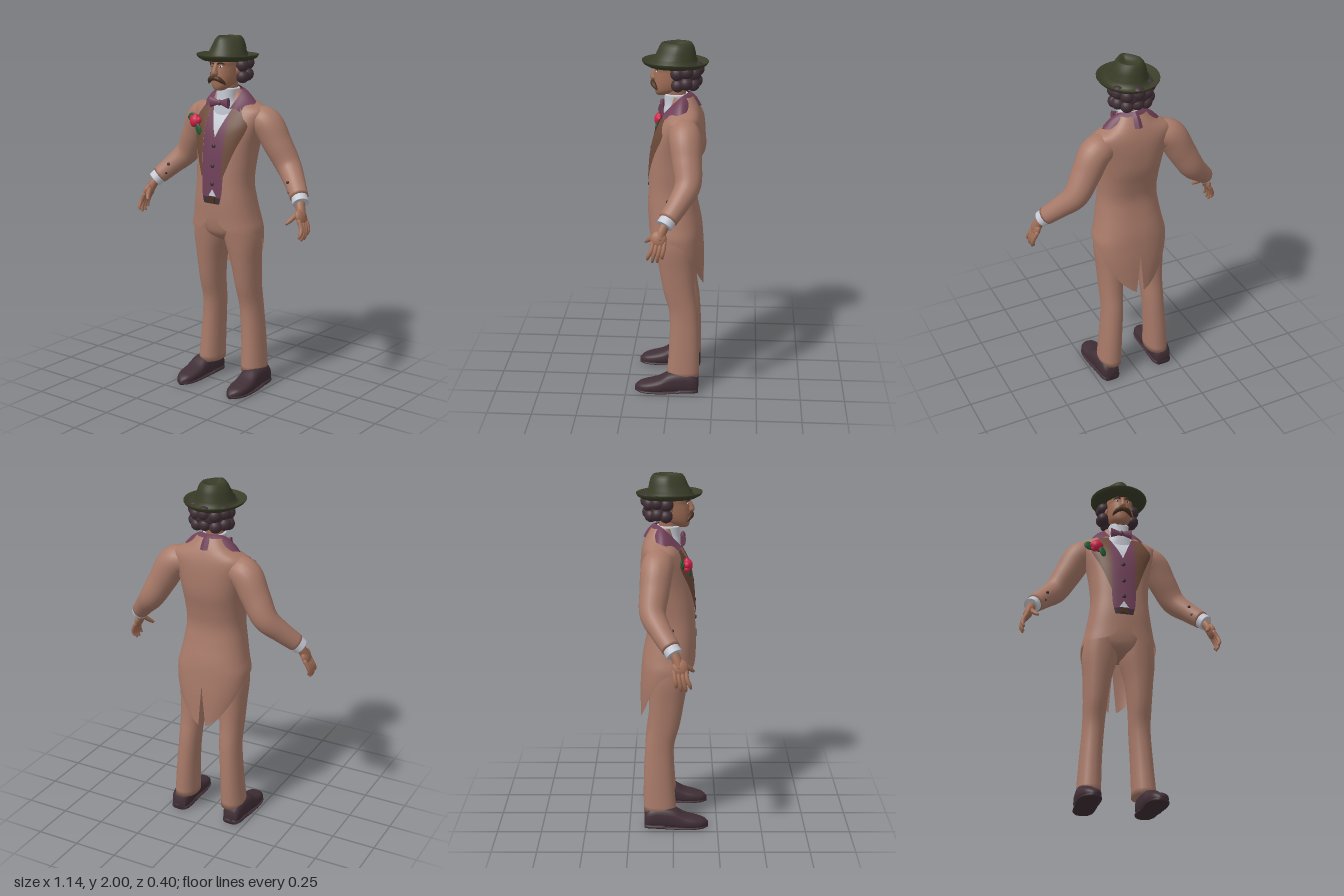
import * as THREE from 'three';

const mat = (name, color, open) => {
  const m = new THREE.MeshStandardMaterial({ color });
  m.name = name;
  if (open) m.side = THREE.DoubleSide;
  return m;
};

// smooth interpolation in a table of [key, ...values]
function at(tab, k) {
  const n = tab.length - 1;
  k = Math.min(Math.max(k, tab[0][0]), tab[n][0]);
  let i = 0;
  while (i < n - 1 && k > tab[i + 1][0]) i++;
  const a = tab[i], b = tab[i + 1], p = tab[Math.max(i - 1, 0)], q = tab[Math.min(i + 2, n)];
  const h = b[0] - a[0], t = (k - a[0]) / h, t2 = t * t, t3 = t2 * t;
  return a.slice(1).map((_, j) => {
    const c = j + 1, m0 = (b[c] - p[c]) / (b[0] - p[0]), m1 = (q[c] - a[c]) / (q[0] - a[0]);
    return (2 * t3 - 3 * t2 + 1) * a[c] + (t3 - 2 * t2 + t) * h * m0 + (3 * t2 - 2 * t3) * b[c] + (t3 - t2) * h * m1;
  });
}

// surface from f(u, v) -> [x, y, z]; closed wraps around u
function grid(nu, nv, f, closed) {
  const pos = [], idx = [], w = closed ? nu : nu + 1;
  for (let j = 0; j <= nv; j++) for (let i = 0; i < w; i++) pos.push(...f(i / nu, j / nv, j));
  for (let j = 0; j < nv; j++) for (let i = 0; i < nu; i++) {
    const a = j * w + i, b = j * w + (i + 1) % w;
    idx.push(a, b, b + w, a, b + w, a + w);
  }
  const g = new THREE.BufferGeometry();
  g.setAttribute('position', new THREE.Float32BufferAttribute(pos, 3));
  g.setIndex(idx);
  g.computeVertexNormals();
  return g;
}

const pw = (v, e) => Math.sign(v) * Math.abs(v) ** e;

// upright body with rows [y, halfWidth, zFront, zBack, xCentre], capped at both ends
function loft(rows, p = 2.3, nu = 28, nv = 20) {
  const y0 = rows[0][0], y1 = rows[rows.length - 1][0];
  return grid(nu, nv + 2, (u, _, j) => {
    const y = y0 + (y1 - y0) * Math.min(Math.max((j - 1) / nv, 0), 1), a = u * Math.PI * 2;
    const [w, f, b, cx] = at(rows, y), k = j === 0 || j === nv + 2 ? 0 : 1;
    return [(cx || 0) + k * w * pw(Math.sin(a), 2 / p), y, (f + b) / 2 + k * (f - b) / 2 * pw(Math.cos(a), 2 / p)];
  }, true);
}

// round limb along points [x, y, z, radius]
function limb(pts, nu = 16, nv = 20) {
  const curve = new THREE.CatmullRomCurve3(pts.map(p => new THREE.Vector3(...p.slice(0, 3))));
  const radii = pts.map((p, i) => [i, p[3]]), zAxis = new THREE.Vector3(0, 0, 1);
  return grid(nu, nv + 2, (u, _, j) => {
    const t = Math.min(Math.max((j - 1) / nv, 0), 1), a = u * Math.PI * 2;
    const r = j === 0 || j === nv + 2 ? 0 : at(radii, t * (pts.length - 1))[0];
    const T = curve.getTangent(t), n1 = T.clone().cross(zAxis).normalize(), n2 = T.clone().cross(n1);
    return curve.getPoint(t).addScaledVector(n1, r * Math.cos(a)).addScaledVector(n2, r * Math.sin(a)).toArray();
  }, true);
}

function mirror(g) {
  const m = g.clone().scale(-1, 1, 1), ix = m.index.array;
  for (let i = 0; i < ix.length; i += 3) [ix[i], ix[i + 1]] = [ix[i + 1], ix[i]];
  return m;
}

function ball(x, y, z, rx, ry = rx, rz = rx, tilt = 0) {
  return new THREE.SphereGeometry(1, 18, 12).scale(rx, ry, rz).rotateZ(tilt).translate(x, y, z);
}

// torso: y, half width, front z, back z
const TORSO = [[.62, .15, .12, -.185], [.8, .2, .12, -.186], [.93, .212, .122, -.178], [1, .197, .125, -.17],
  [1.1, .178, .13, -.15], [1.2, .165, .127, -.137], [1.3, .168, .122, -.152], [1.4, .178, .113, -.175],
  [1.5, .2, .09, -.18], [1.57, .222, .055, -.176], [1.61, .222, .03, -.168], [1.64, .155, .012, -.158],
  [1.67, .11, 0, -.145], [1.71, .078, -.005, -.12]];
const OPEN = [[.62, .05], [.93, .05], [1, .042], [1.08, .05], [1.15, .065], [1.3, .07], [1.6, .075], [1.64, .06], [1.71, .05]];
const HEM = [[0, .975], [.06, .945], [.2, .935], [.45, .918], [.57, .87], [.68, .78], [.8, .69], [.93, .635], [1, .615]];
const P = 2.4;

// sheet that follows the chest, with f(u, v) -> [x, y]
const onChest = (off, f) => grid(16, 20, (u, v) => {
  const [x, y] = f(u, v), [w, zf, zb] = at(TORSO, y);
  const s = (1 - Math.min(Math.abs(x) / w, 1) ** P) ** (1 / P);
  return [x, y, (zf + zb) / 2 + (zf - zb) / 2 * s + off];
});
const mix = THREE.MathUtils.lerp;

export function createModel() {
  const coat = mat('tanCloth', 0xa87a69, true), skin = mat('skin', 0xa06e57), vest = mat('plumCloth', 0x6f4058, true);
  const felt = mat('oliveFelt', 0x3a3d28, true), lapel = mat('brownLapel', 0x6c4a39, true), dark = mat('darkPlum', 0x402f36, true);
  const white = mat('whiteLinen', 0xc6cad4, true), red = mat('roseRed', 0xcf2348), green = mat('leafGreen', 0x1d5a32);
  const brown = mat('darkBrown', 0x49301f);
  const model = new THREE.Group();
  const add = (name, g, m) => {
    const mesh = new THREE.Mesh(g, m);
    mesh.name = name;
    model.add(mesh);
  };
  const pair = (name, g, m) => {
    add(name + 'Left', g, m);
    add(name + 'Right', mirror(g), m);
  };

  // tailcoat, open in front and split at the back
  pair('coat', grid(40, 44, (u, v) => {
    const y = mix(at(HEM, u)[0], 1.71, v), [w, f, b] = at(TORSO, y);
    const slit = Math.max(0, .86 - y) * .09;
    const a0 = Math.asin((at(OPEN, y)[0] / w) ** (P / 2)), a1 = Math.PI - Math.asin((slit / w) ** (P / 2));
    const a = mix(a0, a1, u);
    return [w * pw(Math.max(Math.sin(a), 0), 2 / P), y, (f + b) / 2 + (f - b) / 2 * pw(Math.cos(a), 2 / P)];
  }), coat);
  const EDGE = [[1.24, .072], [1.4, .13], [1.53, .178], [1.56, .155], [1.62, .12]];
  pair('lapel', onChest(.006, (u, v) => {
    const y = mix(1.24, 1.62, v);
    return [mix(at(OPEN, y)[0] - .004, at(EDGE, y)[0], u), y];
  }), lapel);
  const COLLAR = [[0, 0, 1.73, -.105, 0, 1.655, -.165], [.5, .078, 1.71, -.05, .158, 1.645, -.07], [1, .062, 1.61, .048, .12, 1.6, .036]];
  pair('collar', grid(20, 6, (u, v) => {
    const c = at(COLLAR, 1 - u);
    return [mix(c[0], c[3], 1 - v), mix(c[1], c[4], 1 - v) + .012 * Math.sin(v * Math.PI), mix(c[2], c[5], 1 - v)];
  }), vest);

  // sleeves, cuffs and hands
  pair('sleeve', limb([[.14, 1.55, -.07, .075], [.215, 1.533, -.085, .087], [.285, 1.42, -.1, .08],
    [.35, 1.31, -.108, .07], [.42, 1.235, -.065, .058], [.487, 1.165, -.012, .05]], 24, 36), coat);
  pair('cuff', limb([[.475, 1.178, -.022, .044], [.508, 1.139, .006, .045]]), white);
  for (const [x, y, z] of [[.415, 1.24, -.006], [.428, 1.188, 0]]) pair('sleeveButton', ball(x, y, z, .009), dark);
  pair('wrist', limb([[.495, 1.155, -.004, .026], [.515, 1.11, .018, .026], [.53, 1.07, .03, .024]]), skin);
  pair('palm', ball(.53, 1.075, .034, .022, .046, .044, .3), skin);
  for (let i = 0; i < 4; i++) {
    const tip = [.975, .955, .953, .968][i], z = .002 + .021 * i;
    pair('finger', limb([[.533, 1.065, z, .012], [.556, 1.02, z + .006, .012], [.561, mix(1.02, tip, .6), z + .012 + .003 * i, .0105],
      [.553, tip, z + .012 + .005 * i, .006]], 10, 10), skin);
  }
  pair('thumb', limb([[.515, 1.095, .045, .014], [.497, 1.062, .084, .013], [.48, 1.04, .107, .007]], 10, 10), skin);

  // shirt, vest, bow tie and belt
  add('shirtFront', onChest(-.013, (u, v) => [mix(-.09, .09, u), mix(1.13, 1.66, v)]), white);
  add('shirtCollar', loft([[1.55, .1, .04, -.1], [1.62, .075, .04, -.095], [1.66, .06, .037, -.09], [1.72, .06, .036, -.09]]), white);
  pair('vestFront', onChest(-.007, (u, v) => {
    const x = .095 * u;
    return [x, mix(1.17 - Math.min(x / .03, 1) * .045, Math.min(1.455 + x * 2.5, 1.63), v)];
  }), vest);
  for (const y of [1.41, 1.3, 1.2]) add('vestButton', ball(0, y, at(TORSO, y)[1] - .004, .012, .012, .007), dark);
  pair('bowWing', new THREE.CylinderGeometry(.012, .03, .052, 16).scale(1, 1, .5).rotateZ(Math.PI / 2).translate(.034, 1.643, .052), vest);
  add('bowKnot', ball(0, 1.643, .054, .014, .016, .014), vest);
  add('belt', onChest(-.008, (u, v) => [mix(-.09, .09, u), mix(1.088, 1.13, v)]), dark);
  add('buckle', new THREE.BoxGeometry(.04, .032, .008).translate(0, 1.109, .125), brown);

  // trousers
  add('hips', loft([[.865, .03, .03, -.08], [.9, .12, .08, -.125], [.95, .172, .1, -.135], [1.03, .17, .11, -.135],
    [1.13, .155, .115, -.115]]), coat);
  pair('trouserLeg', loft([[.095, .066, .016, -.17, .153], [.3, .061, .002, -.168, .142], [.48, .06, .004, -.158, .13],
    [.6, .065, .035, -.142, .126], [.75, .079, .062, -.136, .119], [.88, .1, .083, -.138, .106], [1, .092, .098, -.13, .095],
    [1.08, .08, .1, -.11, .085]], 2.2, 28, 30), coat);

  // shoes, each an upper on a sole
  const SHOE = [[-.165, .17, .04, .085], [-.14, .17, .052, .115], [-.08, .172, .056, .13], [0, .178, .057, .12],
    [.06, .18, .06, .085], [.13, .18, .056, .064], [.175, .178, .038, .05], [.198, .176, .012, .03]];
  for (const [name, wide, top] of [['shoe', 1, 1], ['sole', 1.07, 0]]) {
    pair(name, grid(24, 32, (u, v, j) => {
      const z = mix(-.165, .198, Math.min(Math.max((j - 1) / 30, 0), 1)), [cx, w, h] = at(SHOE, z);
      const k = j === 0 || j === 32 ? 0 : 1, a = u * Math.PI * 2, H = top ? h : .02 + .01 * (z < -.05);
      return [cx + k * w * wide * pw(Math.cos(a), .75), H / 2 + k * H / 2 * pw(Math.sin(a), .75), z];
    }, true), dark);
  }

  // head and face
  add('neck', loft([[1.6, .055, .02, -.085], [1.7, .05, .022, -.08], [1.78, .05, .03, -.08]]), skin);
  add('head', loft([[1.712, .022, .078, .02], [1.725, .04, .086, -.01], [1.745, .055, .09, -.06], [1.78, .066, .091, -.1],
    [1.82, .07, .088, -.12], [1.845, .071, .085, -.128], [1.87, .073, .088, -.13], [1.93, .06, .05, -.1]], 2.3, 32, 28), skin);
  add('nose', loft([[1.79, .008, .1, .07], [1.803, .018, .114, .07], [1.82, .014, .113, .07], [1.862, .009, .09, .07]], 2, 14, 12), skin);
  pair('ear', ball(.074, 1.82, -.02, .012, .028, .018), skin);
  pair('eyeWhite', ball(.029, 1.843, .077, .012, .006, .006), white);
  pair('pupil', ball(.029, 1.843, .081, .005, .005, .004), dark);
  pair('eyebrow', limb([[.012, 1.858, .087, .005], [.03, 1.864, .084, .006], [.05, 1.857, .07, .003]], 8, 8), brown);
  pair('moustache', limb([[0, 1.782, .1, .012], [.025, 1.777, .096, .014], [.045, 1.762, .083, .01], [.056, 1.747, .072, .003]], 12, 14), brown);

  // curly hair
  add('hair', ball(0, 1.835, -.075, .1, .08, .09), dark);
  [[1.782, .036], [1.845, .038]].forEach(([y, r], row) => {
    for (let i = 0; i < 7; i++) {
      const a = (72 + i * 36) * Math.PI / 180;
      add('hairCurl', ball(.092 * Math.sin(a), y + (i % 2) * .01, -.062 + .08 * Math.cos(a) * (row ? 1 : .9), r), dark);
    }
  });

  // hat with rolled brim, pinched crown and crease: rx, rz, y, z centre, front pinch
  const HAT = [[.085, .1, 1.868, -.022, 0], [.13, .145, 1.872, -.022, 0], [.155, .17, 1.886, -.022, 0], [.165, .18, 1.899, -.022, 0],
    [.165, .18, 1.905, -.022, 0], [.154, .169, 1.896, -.022, 0], [.13, .145, 1.886, -.022, 0], [.108, .124, 1.885, -.018, 0],
    [.105, .12, 1.912, -.02, .03], [.1, .114, 1.915, -.022, .05], [.092, .103, 1.95, -.028, .18], [.08, .092, 1.98, -.03, .3],
    [.066, .08, 1.997, -.03, .4], [.054, .068, 1.998, -.03, .5], [.038, .055, 1.984, -.03, .55], [.018, .03, 1.976, -.03, .5],
    [0, 0, 1.975, -.03, 0]];
  add('hat', grid(48, HAT.length - 1, (u, v, j) => {
    const [rx, rz, y, z, pinch] = HAT[j], a = u * Math.PI * 2, c = Math.cos(a);
    return [rx * Math.sin(a) * (1 - pinch * Math.max(c, 0)), y - (j < 7 ? .007 * Math.max(-c, 0) : 0), z + rz * c];
  }, true), felt);

  // rose on the right lapel
  add('rose', ball(-.15, 1.53, .078, .032, .034, .026), red);
  for (let i = 0; i < 5; i++) {
    const a = i * Math.PI * .4 + .3;
    add('rosePetal', ball(-.15 + .02 * Math.cos(a), 1.53 + .02 * Math.sin(a), .074, .02, .02, .018), red);
  }
  add('roseLeaf', ball(-.192, 1.535, .052, .03, .02, .007, -.5), green);
  add('roseLeaf', ball(-.118, 1.488, .09, .018, .034, .007, .4), green);
  add('roseLeaf', ball(-.195, 1.555, .045, .024, .014, .007, .2), green);

  return model;
}
